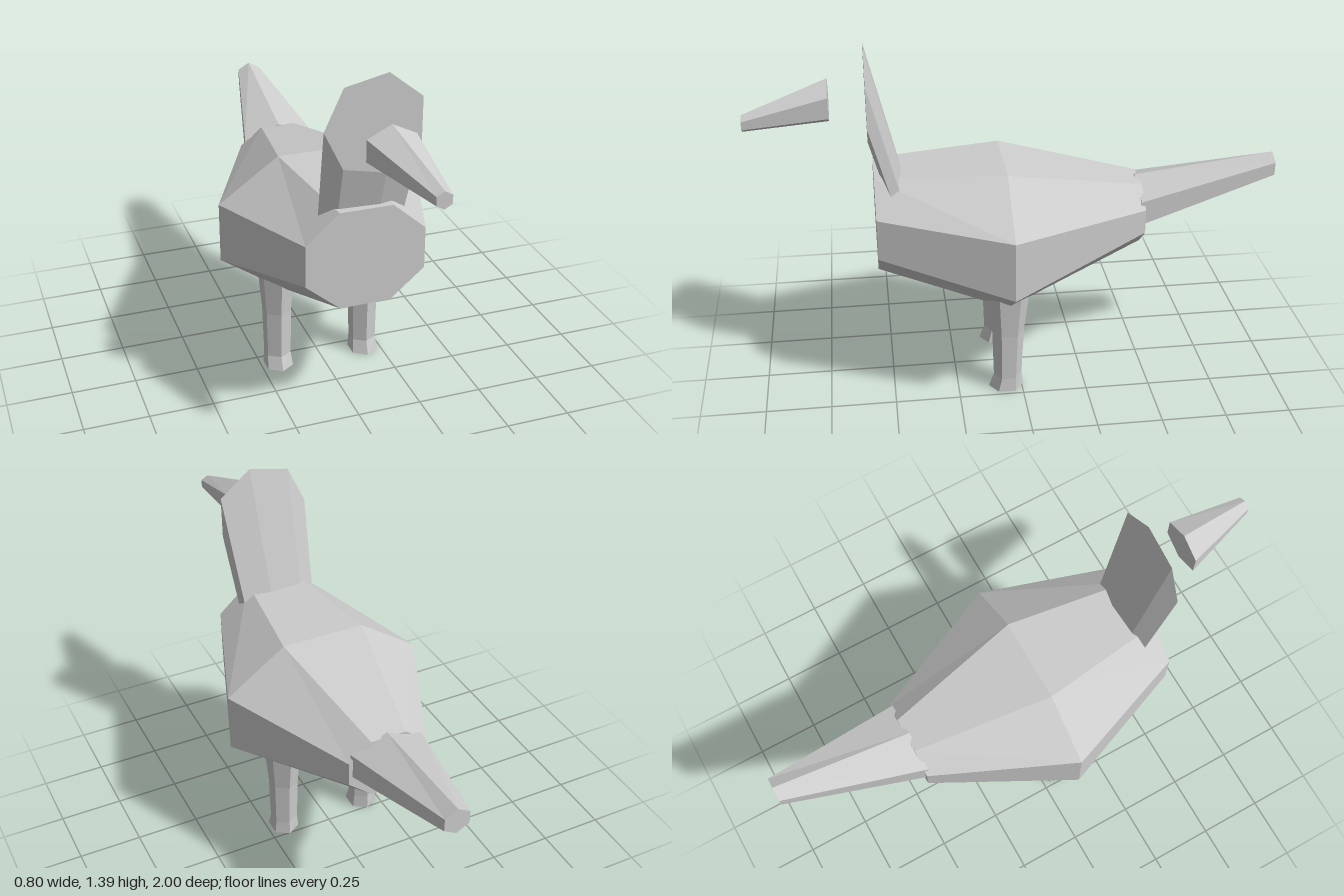
import * as THREE from 'three';

// Closed faceted loft through rings of [x, y, z] points (first ring faces forward or up)
function loft(name, rings, material) {
  const pos = [];
  const n = rings[0].length;
  const tri = (a, b, c) => pos.push(...a, ...b, ...c);
  for (let r = 0; r < rings.length - 1; r++) {
    const a = rings[r], b = rings[r + 1];
    for (let i = 0; i < n; i++) {
      const j = (i + 1) % n;
      tri(a[i], b[i], a[j]);
      tri(a[j], b[i], b[j]);
    }
  }
  const first = rings[0], last = rings[rings.length - 1];
  for (let i = 1; i < n - 1; i++) {
    tri(first[0], first[i], first[i + 1]);
    tri(last[0], last[i + 1], last[i]);
  }
  const geo = new THREE.BufferGeometry();
  geo.setAttribute('position', new THREE.Float32BufferAttribute(pos, 3));
  geo.computeVertexNormals();
  const mesh = new THREE.Mesh(geo, material);
  mesh.name = name;
  return mesh;
}

// Symmetric octagon at depth z: half widths and heights from bottom to top
function octagon(z, wBottom, wSide, wTop, y0, y1, y2, y3) {
  const right = [[wBottom, y0], [wSide, y1], [wSide, y2], [wTop, y3]];
  const left = right.map(([x, y]) => [-x, y]).reverse();
  return [...right, ...left].map(([x, y]) => [x, y, z]);
}

// Upright hexagon (point on top) at depth z
function hexagon(cx, cy, z, halfW, halfH) {
  const shape = [[0, -1], [1, -0.48], [1, 0.48], [0, 1], [-1, 0.48], [-1, -0.48]];
  return shape.map(([x, y]) => [cx + x * halfW, cy + y * halfH, z]);
}

// Level hexagon for the legs, pointed to front and back
function legRing(cx, y, halfW, zFront, zBack) {
  const mid = (zFront + zBack) / 2, half = (zFront - zBack) / 2;
  return [[0, 1], [1, 0.5], [1, -0.5], [0, -1], [-1, -0.5], [-1, 0.5]]
    .map(([x, z]) => [cx + x * halfW, y, mid + z * half]);
}

export function createModel() {
  const bird = new THREE.Group();
  bird.name = 'bird';
  const grey = new THREE.MeshStandardMaterial({ color: 0xcccccc });
  grey.name = 'plain grey';
  grey.flatShading = true;

  // Body
  bird.add(loft('body', [
    octagon(0.54, 0.095, 0.225, 0.1, 0.51, 0.62, 0.78, 0.89),
    octagon(0.05, 0.155, 0.4, 0.165, 0.335, 0.505, 0.74, 0.905),
    octagon(-0.48, 0.065, 0.158, 0.07, 0.55, 0.63, 0.725, 0.795),
  ], grey));

  // Neck and head: a slanting seven-sided sweep
  const face = [[0.065, 1.025], [0.19, 1.125], [0.19, 1.29], [0.065, 1.39],
    [-0.095, 1.355], [-0.165, 1.205], [-0.095, 1.06]];
  bird.add(loft('neck', [
    face.map(([x, y]) => [x, y, 0.555]),
    face.map(([x, y]) => [(x - 0.015) * 0.82, 0.68 + (y - 1.21) * 0.82, 0.42]),
  ], grey));

  // Beak, set ahead of the head
  bird.add(loft('beak', [
    hexagon(0.073, 1.127, 1, 0.028, 0.032),
    hexagon(0.022, 1.182, 0.69, 0.088, 0.083),
  ], grey));

  // Tail
  bird.add(loft('tail', [
    hexagon(0, 0.705, -0.465, 0.145, 0.1),
    hexagon(0.032, 0.833, -1, 0.048, 0.052),
  ], grey));

  // Legs with flared feet
  for (const [name, side] of [['leftLeg', 1], ['rightLeg', -1]]) {
    const x = 0.181 * side;
    bird.add(loft(name, [
      legRing(x, 0.42, 0.062, 0.133, -0.032),
      legRing(x, 0.25, 0.05, 0.115, -0.01),
      legRing(x, 0.055, 0.047, 0.11, 0),
      legRing(x, 0, 0.052, 0.13, -0.005),
    ], grey));
  }

  return bird;
}
